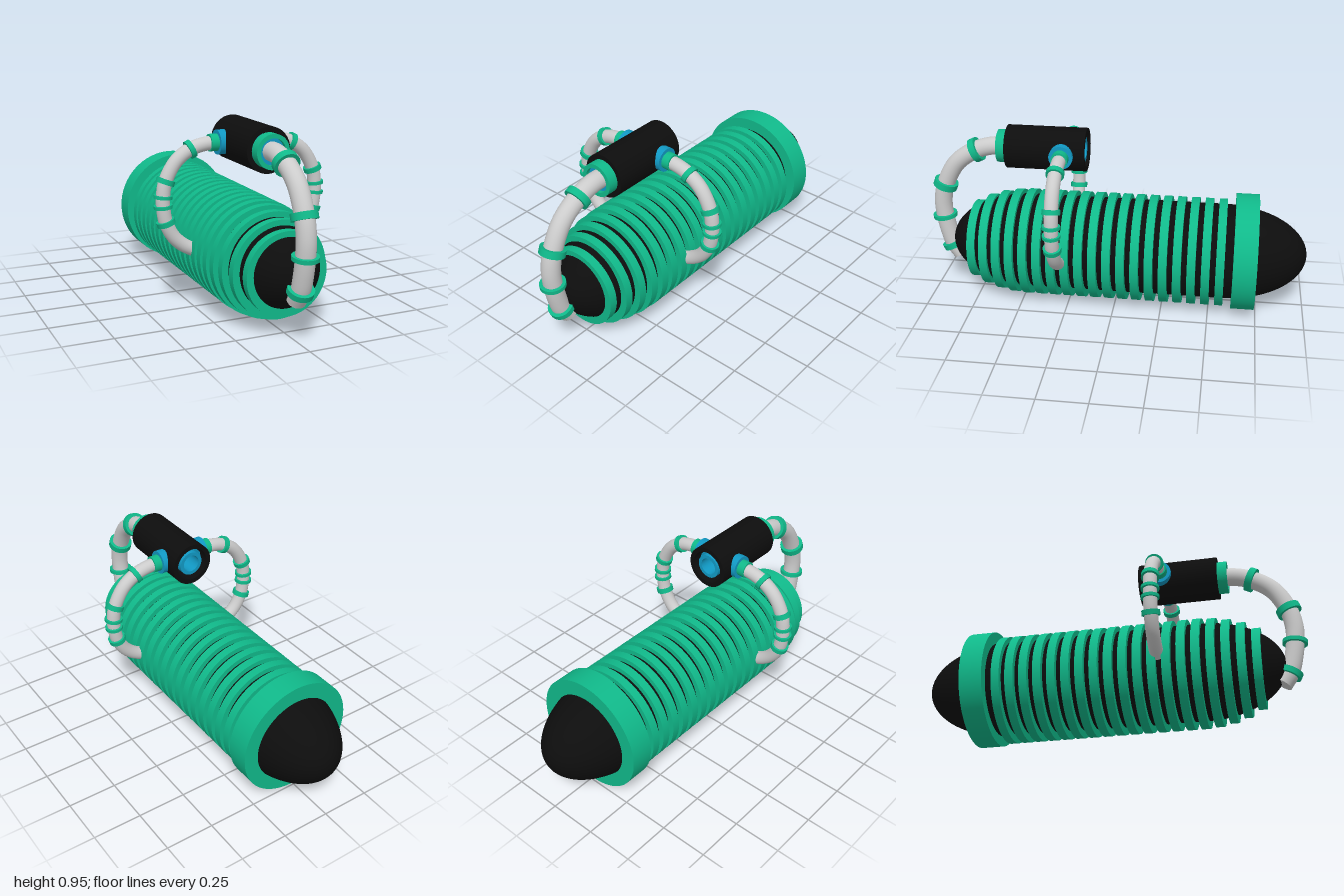
import * as THREE from 'three';

const mat = (color) => new THREE.MeshStandardMaterial({ color });
const grey = mat(0xcccccc);
const green = mat(0x10b98a);
const blue = mat(0x1199c4);
const black = mat(0x0d0d0d);

const UP = new THREE.Vector3(0, 1, 0);
const V = (x, y, z) => new THREE.Vector3(x, y, z);

function add(parent, name, geometry, material) {
  const mesh = new THREE.Mesh(geometry, material);
  mesh.name = name;
  parent.add(mesh);
  return mesh;
}

// Solid disc centred on a point, its axis along dir
function disc(parent, name, radius, height, pos, dir, material, segments = 48) {
  const mesh = add(parent, name, new THREE.CylinderGeometry(radius, radius, height, segments), material);
  mesh.position.copy(pos);
  mesh.quaternion.setFromUnitVectors(UP, dir.clone().normalize());
  return mesh;
}

// Hollow sleeve along z from z0 to z1
function sleeve(parent, name, outer, inner, z0, z1, y, material) {
  const shape = new THREE.Shape().absarc(0, 0, outer, 0, Math.PI * 2, false);
  shape.holes.push(new THREE.Path().absarc(0, 0, inner, 0, Math.PI * 2, true));
  const geometry = new THREE.ExtrudeGeometry(shape, { depth: z1 - z0, bevelEnabled: false, curveSegments: 40 });
  const mesh = add(parent, name, geometry, material);
  mesh.position.set(0, y, z0);
  return mesh;
}

// Bent pipe with bands; each band is [path point index, height]
function pipe(parent, name, points, radius, bandRadius, bands) {
  const group = new THREE.Group();
  group.name = name;
  parent.add(group);
  const curve = new THREE.CatmullRomCurve3(points);
  add(group, 'pipe', new THREE.TubeGeometry(curve, 64, radius, 24), grey);
  // caps for the pipe ends
  for (const t of [0, 1]) disc(group, 'pipeEnd', radius, 0.004, curve.getPoint(t), curve.getTangent(t), grey, 24);
  for (const [i, height] of bands) {
    disc(group, 'pipeBand', bandRadius, height, points[i], curve.getTangent(i / (points.length - 1)), green, 32);
  }
  return group;
}

export function createModel() {
  const model = new THREE.Group();
  model.name = 'ringedTank';
  const Z = V(0, 0, 1);
  const X = V(1, 0, 0);

  // Long body: straight barrel with elliptical domes
  const profile = [];
  const N = 20;
  for (let i = 0; i <= N; i++) {
    const a = (i / N) * Math.PI / 2;
    profile.push(new THREE.Vector2(0.25 * Math.sin(a), -0.56 - 0.44 * Math.cos(a)));
  }
  for (let i = 0; i <= N; i++) {
    const a = (i / N) * Math.PI / 2;
    profile.push(new THREE.Vector2(0.25 * Math.cos(a), 0.47 + 0.42 * Math.sin(a)));
  }
  const body = add(model, 'body', new THREE.LatheGeometry(profile, 64), black);
  body.rotation.x = Math.PI / 2;
  body.position.y = 0.302;

  // Ribs along the body, smaller toward the front
  const frontRadii = [0.207, 0.243, 0.265, 0.278];
  for (let i = 0; i < 19; i++) {
    disc(model, 'rib', frontRadii[i] ?? 0.283, 0.043, V(0, 0.295, 0.753 - i * 0.0727), Z, green, 64);
  }
  disc(model, 'rearCollar', 0.305, 0.12, V(0, 0.307, -0.68), Z, green, 64);

  // Hollow canister above the body with an inner sleeve and front ring
  sleeve(model, 'canister', 0.112, 0.088, 0.155, 0.57, 0.84, black);
  sleeve(model, 'canisterLining', 0.064, 0.045, 0.165, 0.6, 0.84, blue);
  sleeve(model, 'canisterFrontRing', 0.085, 0.064, 0.565, 0.62, 0.84, green);

  // Front pipe, curving down into the nose
  const frontPath = [
    [0.84, 0.57], [0.838, 0.65], [0.81, 0.742], [0.735, 0.85], [0.608, 0.922],
    [0.51, 0.943], [0.423, 0.94], [0.33, 0.924], [0.257, 0.902], [0.2, 0.865],
  ].map(([y, z]) => V(0, y, z));
  pipe(model, 'frontPipe', frontPath, 0.047, 0.064, [[2, 0.035], [4, 0.035], [6, 0.02], [8, 0.03]]);

  // Side ports and pipes, mirrored
  for (const s of [1, -1]) {
    const z = 0.272;
    const side = new THREE.Group();
    side.name = s > 0 ? 'leftPipeAssembly' : 'rightPipeAssembly';
    model.add(side);
    disc(side, 'portFlange', 0.061, 0.05, V(s * 0.11, 0.84, z), X, blue, 40);
    disc(side, 'portCollar', 0.043, 0.045, V(s * 0.153, 0.84, z), X, green, 32);
    const path = [
      [0.13, 0.838], [0.195, 0.836], [0.274, 0.815], [0.348, 0.762], [0.403, 0.668], [0.417, 0.592],
      [0.417, 0.543], [0.404, 0.463], [0.367, 0.39], [0.315, 0.34], [0.25, 0.305],
    ].map(([x, y]) => V(s * x, y, z));
    pipe(side, 'sidePipe', path, 0.035, 0.046, [[2, 0.025], [4, 0.025], [5, 0.016], [6, 0.016], [7, 0.025]]);
  }

  return model;
}
